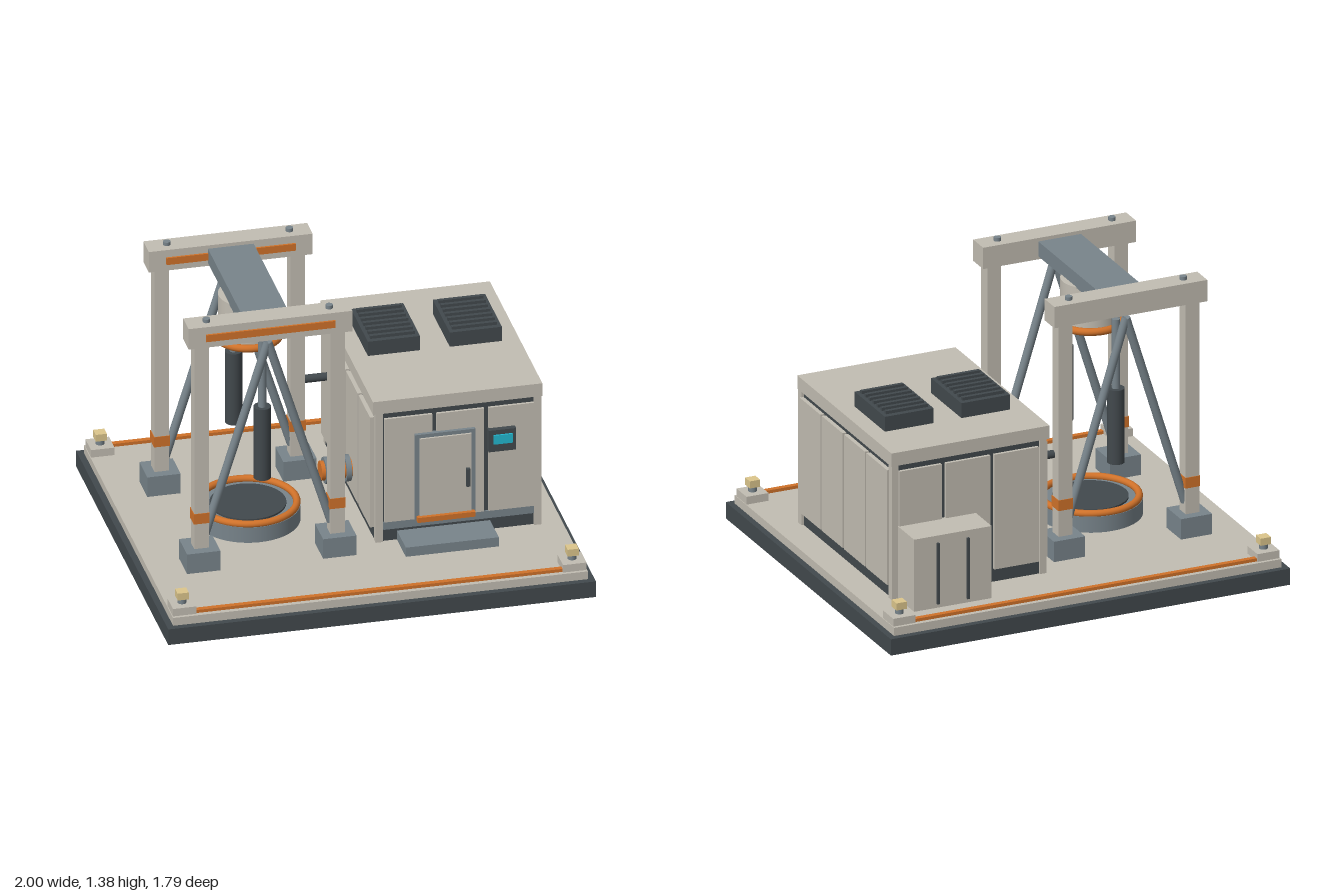
import * as THREE from 'three';

const mat = (color) => new THREE.MeshStandardMaterial({ color });

export function createModel() {
  const model = new THREE.Group();
  const light = mat(0xc2bdb2), dark = mat(0x42494d), steel = mat(0x78848b);
  const orange = mat(0xd0722a), brass = mat(0xdcc68c), cyan = mat(0x22b8d0);

  const add = (parent, name, geo, material, x = 0, y = 0, z = 0) => {
    const m = new THREE.Mesh(geo, material);
    m.name = name;
    m.position.set(x, y, z);
    parent.add(m);
    return m;
  };
  // Box given by its min and max on each axis
  const box = (parent, name, material, x0, x1, y0, y1, z0, z1) =>
    add(parent, name, new THREE.BoxGeometry(x1 - x0, y1 - y0, z1 - z0), material,
      (x0 + x1) / 2, (y0 + y1) / 2, (z0 + z1) / 2);
  // Cylinder between two points
  const rod = (parent, name, material, r, a, b, sides = 24) => {
    const p = new THREE.Vector3(...a), q = new THREE.Vector3(...b);
    const m = add(parent, name, new THREE.CylinderGeometry(r, r, p.distanceTo(q), sides), material);
    m.position.copy(p).add(q).multiplyScalar(0.5);
    m.quaternion.setFromUnitVectors(new THREE.Vector3(0, 1, 0), q.sub(p).normalize());
    return m;
  };
  const ring = (parent, name, R, r, x, y) => {
    const m = add(parent, name, new THREE.TorusGeometry(R, r, 12, 48), orange, x, y, 0);
    m.rotation.x = Math.PI / 2;
  };
  const group = (name) => {
    const g = new THREE.Group();
    g.name = name;
    model.add(g);
    return g;
  };

  // Platform with edge strips and corner anchors
  const base = group('platform');
  box(base, 'plinth', dark, -1, 1, 0, 0.08, -0.895, 0.895);
  box(base, 'deck', light, -0.97, 0.97, 0.08, 0.12, -0.865, 0.865);
  for (const s of [-1, 1]) {
    box(base, 'edgeStrip', orange, -0.86, 0.86, 0.12, 0.135, s * 0.83 - 0.0125, s * 0.83 + 0.0125);
    for (const t of [-1, 1]) {
      const x = s * 0.912, z = t * 0.795;
      box(base, 'anchorPad', light, x - 0.055, x + 0.055, 0.12, 0.158, z - 0.055, z + 0.055);
      rod(base, 'anchorStem', steel, 0.02, [x, 0.155, z], [x, 0.19, z], 16);
      box(base, 'anchorBlock', brass, x - 0.026, x + 0.026, 0.183, 0.218, z - 0.026, z + 0.026);
    }
  }

  // Gantry frame
  const gantry = group('gantry');
  const cx = -0.412;
  for (const s of [-1, 1]) {
    const z = s * 0.386;
    for (const t of [-1, 1]) {
      const x = cx + t * 0.318;
      box(gantry, 'footing', steel, x - 0.078, x + 0.078, 0.12, 0.22, z - 0.078, z + 0.078);
      box(gantry, 'post', light, x - 0.034, x + 0.034, 0.22, 1.27, z - 0.034, z + 0.034);
      box(gantry, 'postBand', orange, x - 0.037, x + 0.037, 0.348, 0.4, z - 0.037, z + 0.037);
      rod(gantry, 'brace', steel, 0.02, [cx + t * 0.295, 0.27, z], [cx, 1.225, z], 16);
      rod(gantry, 'beamBolt', steel, 0.017, [cx + t * 0.287, 1.35, z], [cx + t * 0.287, 1.382, z], 16);
    }
    box(gantry, 'topBeam', light, cx - 0.383, cx + 0.383, 1.26, 1.365, z - 0.054, z + 0.054);
    box(gantry, 'beamStripe', orange, cx - 0.302, cx + 0.302, 1.293, 1.328, z + 0.05, z + 0.064);
    rod(gantry, 'damperRod', steel, 0.019, [cx, 0.8, s * 0.278], [cx, 1.18, s * 0.278]);
    rod(gantry, 'damperBody', dark, 0.04, [cx, 0.475, s * 0.278], [cx, 0.84, s * 0.278]);
  }
  box(gantry, 'crossBeam', steel, cx - 0.107, cx + 0.107, 1.275, 1.348, -0.335, 0.335);
  rod(gantry, 'hangingDrum', light, 0.137, [cx, 1.06, 0], [cx, 1.28, 0], 40);
  ring(gantry, 'drumRing', 0.145, 0.018, cx, 1.069);

  // Round floor port under the drum
  const port = group('floorPort');
  rod(port, 'portBase', steel, 0.24, [cx, 0.12, 0], [cx, 0.198, 0], 48);
  rod(port, 'portCover', dark, 0.175, [cx, 0.19, 0], [cx, 0.207, 0], 48);
  ring(port, 'portRing', 0.223, 0.017, cx, 0.207);

  // Pipes joining gantry side and cabin
  const pipes = group('pipes');
  rod(pipes, 'coupling', orange, 0.046, [-0.075, 0.322, 0], [0.1, 0.322, 0]);
  for (const x of [-0.045, 0.05])
    rod(pipes, 'flange', steel, 0.062, [x - 0.012, 0.322, 0], [x + 0.012, 0.322, 0]);
  rod(pipes, 'conduit', dark, 0.019, [-0.06, 0.607, -0.362], [0.1, 0.607, -0.362]);

  // Cabin: dark core with raised light panels, so the gaps read as dark seams
  const cabin = group('cabin');
  box(cabin, 'core', dark, 0.09, 0.852, 0.14, 0.81, -0.6, 0.395);
  box(cabin, 'roof', light, 0.075, 0.867, 0.8, 0.865, -0.613, 0.408);
  for (const x of [0.105, 0.846]) for (const z of [-0.591, 0.388])
    box(cabin, 'cornerPost', light, x - 0.017, x + 0.017, 0.14, 0.81, z - 0.018, z + 0.018);
  for (let i = 0; i < 4; i++) {
    const z0 = -0.577 + i * 0.2415, z1 = z0 + 0.2265;
    box(cabin, 'rightPanel', light, 0.84, 0.872, 0.205, 0.77, z0, z1);
    box(cabin, 'leftPanel', light, 0.069, 0.1, 0.205, 0.77, z0, z1);
  }
  for (let i = 0; i < 3; i++) {
    const x0 = 0.13 + i * 0.235 + (i ? 0.008 : 0) + (i > 1 ? 0.008 : 0), x1 = x0 + 0.222;
    box(cabin, 'frontPanel', light, x0, x1 - (i > 1 ? 0.01 : 0), 0.24, 0.77, 0.38, 0.408);
    box(cabin, 'backPanel', light, x0, x1 - (i > 1 ? 0.01 : 0), 0.205, 0.77, -0.615, -0.59);
  }
  box(cabin, 'frontSill', steel, 0.125, 0.828, 0.2, 0.238, 0.38, 0.403);
  box(cabin, 'step', steel, 0.19, 0.625, 0.138, 0.185, 0.395, 0.567);

  // Door
  const door = group('door');
  box(door, 'doorFrame', steel, 0.268, 0.55, 0.24, 0.68, 0.4, 0.425);
  box(door, 'doorPanel', light, 0.288, 0.53, 0.268, 0.662, 0.42, 0.435);
  box(door, 'doorHandle', dark, 0.502, 0.52, 0.4, 0.49, 0.43, 0.453);
  box(door, 'kickPlate', orange, 0.275, 0.545, 0.24, 0.265, 0.42, 0.448);

  // Control screen beside the door
  const panel = group('controlPanel');
  box(panel, 'screenHousing', dark, 0.61, 0.738, 0.555, 0.665, 0.4, 0.435);
  box(panel, 'screen', cyan, 0.632, 0.72, 0.596, 0.642, 0.43, 0.443);

  // Roof vents
  for (const x of [0.28, 0.663]) {
    const vent = group('roofVent');
    box(vent, 'ventBox', dark, x - 0.122, x + 0.122, 0.86, 0.938, -0.365, -0.036);
    for (let i = -3; i <= 3; i++) {
      const z = -0.2 + i * 0.0435;
      box(vent, 'ventSlat', dark, x - 0.105, x + 0.105, 0.935, 0.953, z - 0.009, z + 0.009);
    }
  }

  // Equipment box on the back
  const rear = group('rearUnit');
  box(rear, 'rearBox', light, 0.445, 0.833, 0.145, 0.5, -0.785, -0.6);
  for (const x of [0.565, 0.715])
    box(rear, 'rearSeam', dark, x - 0.006, x + 0.006, 0.165, 0.465, -0.796, -0.78);

  return model;
}
